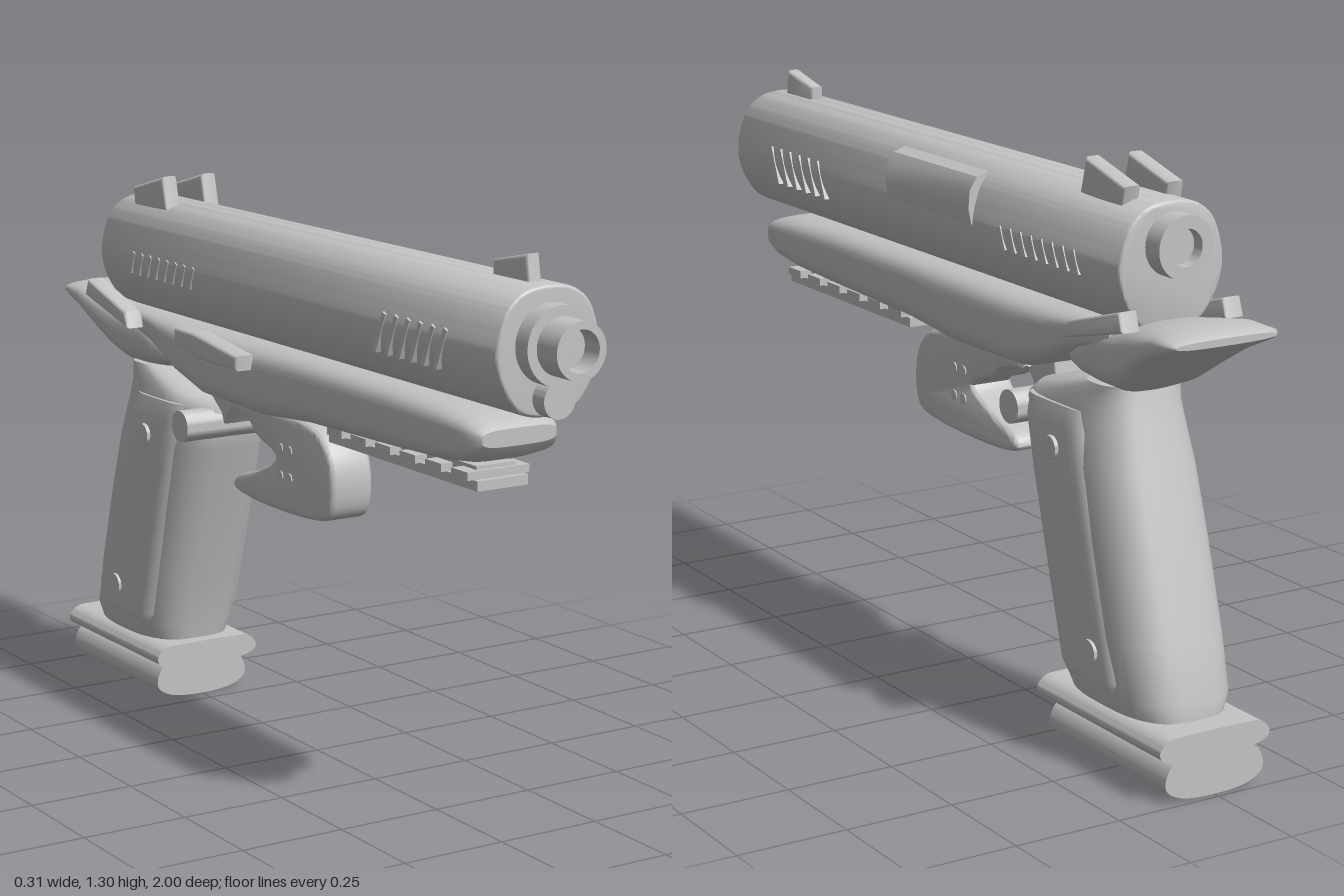
import * as THREE from 'three';
import { toCreasedNormals } from 'three/addons/utils/BufferGeometryUtils.js';

const grey = new THREE.MeshStandardMaterial({ color: 0xc4c4c4 });
grey.name = 'plain grey';

// Superellipse loft: each ring is [axis position, min, max, half width].
// along 'z': min/max are heights; along 'y': min/max are depths.
function loft(rings, axis, power, n = 40) {
  const pos = [], idx = [];
  const bend = (v) => Math.sign(v) * Math.abs(v) ** (2 / power);
  const addRing = ([t, lo, hi, w]) => {
    const start = pos.length / 3, mid = (lo + hi) / 2, half = (hi - lo) / 2;
    for (let i = 0; i < n; i++) {
      const a = (i / n) * Math.PI * 2, c = bend(Math.cos(a)), s = bend(Math.sin(a));
      if (axis === 'z') pos.push(w * c, mid + half * s, t);
      else pos.push(w * s, t, mid + half * c);
    }
    return start;
  };
  const starts = rings.map(addRing);
  for (let r = 0; r + 1 < rings.length; r++) {
    for (let i = 0; i < n; i++) {
      const j = (i + 1) % n, a = starts[r], b = starts[r + 1];
      idx.push(a + i, a + j, b + j, a + i, b + j, b + i);
    }
  }
  // end caps with their own vertices
  [rings[0], rings[rings.length - 1]].forEach((ring, end) => {
    const s = addRing(ring), mid = (ring[1] + ring[2]) / 2, c = pos.length / 3;
    pos.push(...(axis === 'z' ? [0, mid, ring[0]] : [0, ring[0], mid]));
    for (let i = 0; i < n; i++) {
      const j = (i + 1) % n;
      if (end) idx.push(c, s + i, s + j);
      else idx.push(c, s + j, s + i);
    }
  });
  const g = new THREE.BufferGeometry();
  g.setAttribute('position', new THREE.Float32BufferAttribute(pos, 3));
  g.setIndex(idx);
  g.computeVertexNormals();
  return g;
}

function extrude(shape, depth, bevel) {
  return toCreasedNormals(new THREE.ExtrudeGeometry(shape, {
    depth: depth - 2 * bevel, bevelEnabled: bevel > 0, bevelSize: bevel, bevelThickness: bevel,
    bevelOffset: -bevel, bevelSegments: 4, curveSegments: 10,
  }).translate(0, 0, bevel), 0.6);
}

const poly = (pts) => new THREE.Shape(pts.map(([a, b]) => new THREE.Vector2(a, b)));
const smooth = (pts, n = 48) => new THREE.Shape(
  new THREE.CatmullRomCurve3(pts.map(([a, b]) => new THREE.Vector3(a, b, 0)), true, 'centripetal')
    .getPoints(n).slice(0, -1).map((p) => new THREE.Vector2(p.x, p.y)));

// Side outline in (z, y), given thickness centred on x
const sidePart = (shape, x, width, bevel) =>
  extrude(shape, width, bevel).translate(0, 0, -width / 2).rotateY(-Math.PI / 2).translate(x, 0, 0);

// Front outline in (x, y), running from z0 to z1
const runPart = (shape, z0, z1, bevel = 0) => extrude(shape, z1 - z0, bevel).translate(0, 0, z0);

const turned = (pts, dir) => toCreasedNormals(
  new THREE.LatheGeometry(pts.map(([r, t]) => new THREE.Vector2(r, t)), 40).rotateX(dir * Math.PI / 2), 0.6);

const crossPin = (r, len) => toCreasedNormals(new THREE.CylinderGeometry(r, r, len, 28).rotateZ(Math.PI / 2), 0.6);

export function createModel() {
  const model = new THREE.Group();
  const add = (name, geometry, x = 0, y = 0, z = 0) => {
    const m = new THREE.Mesh(geometry, grey);
    m.name = name;
    m.position.set(x, y, z);
    model.add(m);
    return m;
  };

  // Slide and its raised side cover
  add('slide', runPart(smooth([
    [0.06, 0.965], [0.108, 1.015], [0.13, 1.08], [0.122, 1.145], [0.098, 1.195], [0.05, 1.225],
    [-0.05, 1.225], [-0.098, 1.195], [-0.122, 1.145], [-0.13, 1.08], [-0.108, 1.015], [-0.06, 0.965],
  ], 72), -0.8, 0.89, 0.008));
  add('portCover', runPart(poly([
    [0.07, 1.18], [0.11, 1.09], [0.134, 1.095], [0.141, 1.13], [0.138, 1.17], [0.12, 1.2], [0.09, 1.21],
  ]), -0.23, 0.13));

  // Barrel, guide rod and rear boss
  add('muzzle', turned([[0.085, 0.86], [0.085, 0.932], [0.062, 0.932], [0.062, 1], [0.045, 1],
    [0.045, 0.95], [0, 0.95]], 1), 0, 1.11, 0);
  add('guideRod', turned([[0.04, 0.8], [0.04, 0.93], [0, 0.93]], 1), 0, 0.998, 0);
  add('rearBoss', turned([[0.068, 0.75], [0.068, 0.85], [0.04, 0.85], [0.04, 0.82], [0, 0.82]], -1), 0, 1.14, 0);

  // Sights
  add('frontSight', sidePart(poly([[0.845, 1.2], [0.83, 1.287], [0.71, 1.26], [0.71, 1.2]]), 0, 0.034, 0.008));
  for (const s of [-1, 1]) {
    add('rearSight', sidePart(poly([[-0.565, 1.215], [-0.585, 1.295], [-0.735, 1.255], [-0.725, 1.2]]),
      s * 0.054, 0.042, 0.01));
  }

  // Slanted grooves on both sides of the slide
  for (const s of [-1, 1]) {
    for (let i = 0; i < 6; i++) {
      const rib = add('frontRib', new THREE.BoxGeometry(0.014, 0.095, 0.013), s * 0.126, 1.08, 0.69 - i * 0.046);
      rib.rotation.x = 0.4;
    }
    for (let i = 0; i < 8; i++) {
      const rib = add('rearRib', new THREE.BoxGeometry(0.012, 0.055, 0.012), s * 0.127, 1.085, -0.35 - i * 0.041);
      rib.rotation.x = 0.4;
    }
  }

  // Frame under the slide, and the flared tang behind
  add('frame', loft([
    [-0.72, 0.91, 0.965, 0.1], [-0.6, 0.885, 0.965, 0.112], [-0.48, 0.83, 0.96, 0.117],
    [-0.36, 0.795, 0.958, 0.118], [-0.1, 0.79, 0.96, 0.118], [0.1, 0.808, 0.962, 0.118],
    [0.45, 0.818, 0.96, 0.118], [0.64, 0.826, 0.953, 0.117], [0.73, 0.838, 0.944, 0.114],
    [0.775, 0.855, 0.932, 0.108], [0.793, 0.88, 0.918, 0.095],
  ], 'z', 3.6));
  add('tang', loft([
    [-0.995, 0.966, 0.982, 0.125], [-0.98, 0.955, 0.992, 0.138], [-0.92, 0.925, 1, 0.14],
    [-0.85, 0.88, 0.99, 0.136], [-0.79, 0.838, 0.98, 0.125], [-0.74, 0.818, 0.968, 0.115],
    [-0.66, 0.816, 0.955, 0.105], [-0.6, 0.825, 0.92, 0.1], [-0.55, 0.84, 0.885, 0.085],
  ], 'z', 2.8));

  // Levers
  const lever = poly([[-0.625, 0.925], [-0.64, 0.965], [-0.83, 1.02], [-0.845, 0.978]]);
  for (const s of [-1, 1]) add('safetyLever', sidePart(lever, s * 0.13, 0.048, 0.008));
  add('slideStop', sidePart(poly([[-0.1, 0.905], [-0.1, 0.94], [-0.3, 0.965], [-0.39, 0.965], [-0.39, 0.925],
    [-0.28, 0.905]]), -0.132, 0.05, 0.008));

  // Accessory rail
  add('rail', new THREE.BoxGeometry(0.13, 0.022, 0.58), 0, 0.788, 0.445);
  add('railBase', new THREE.BoxGeometry(0.1, 0.03, 0.54), 0, 0.81, 0.44);
  for (let i = 0; i < 6; i++) {
    add('railTooth', new THREE.BoxGeometry(0.16, 0.018, 0.06), 0, 0.808, 0.69 - i * 0.098);
  }

  // Notched trigger block with small studs
  add('trigger', sidePart(smooth([
    [0.153, 0.66], [0.14, 0.73], [0.1, 0.775], [0.04, 0.795], [-0.15, 0.8], [-0.3, 0.8], [-0.33, 0.785],
    [-0.22, 0.755], [-0.19, 0.73], [-0.1, 0.692], [-0.18, 0.648], [-0.28, 0.612], [-0.293, 0.59],
    [-0.26, 0.575], [0.08, 0.576], [0.135, 0.595],
  ], 80), 0, 0.112, 0.014));
  for (const [z, y] of [[-0.03, 0.72], [-0.07, 0.72], [-0.03, 0.655], [-0.07, 0.655]]) {
    add('triggerStud', crossPin(0.012, 0.118), 0, y, z);
  }

  // Hinge pin and its link to the frame
  add('hingePin', crossPin(0.038, 0.28), 0, 0.722, -0.395);
  add('hingeLink', sidePart(poly([[-0.36, 0.72], [-0.3, 0.8], [-0.42, 0.83], [-0.44, 0.72]]), 0, 0.08, 0.005));

  // Grip and the raised panels around it
  add('grip', loft([
    [0.13, -0.925, -0.55, 0.112], [0.18, -0.925, -0.54, 0.132], [0.3, -0.893, -0.508, 0.136],
    [0.5, -0.835, -0.445, 0.136], [0.65, -0.787, -0.395, 0.134], [0.75, -0.757, -0.362, 0.122],
    [0.785, -0.747, -0.41, 0.115], [0.83, -0.735, -0.6, 0.1],
  ], 'y', 3));
  add('gripPanels', loft([
    [0.185, -0.835, -0.585, 0.134], [0.21, -0.828, -0.575, 0.142], [0.4, -0.77, -0.52, 0.143],
    [0.6, -0.712, -0.462, 0.143], [0.72, -0.68, -0.427, 0.139], [0.765, -0.665, -0.42, 0.126],
  ], 'y', 5));
  for (const [z, y] of [[-0.567, 0.672], [-0.724, 0.26]]) add('gripScrew', crossPin(0.027, 0.298), 0, y, z);

  // Stacked base plates with rounded outlines
  const plate = (w, y0, y1) => {
    const h = y1 - y0;
    return smooth([[w * 0.75, y0 + h * 0.1], [w * 0.97, y0 + h * 0.3], [w, y0 + h * 0.55], [w * 0.85, y0 + h * 0.93],
      [w * 0.5, y1], [-w * 0.5, y1], [-w * 0.85, y0 + h * 0.93], [-w, y0 + h * 0.55], [-w * 0.97, y0 + h * 0.3],
      [-w * 0.75, y0 + h * 0.1], [-w * 0.4, y0], [w * 0.4, y0]]);
  };
  add('upperBasePlate', runPart(plate(0.14, 0.082, 0.142), -0.985, -0.515));
  add('lowerBasePlate', runPart(plate(0.125, 0, 0.09), -0.985, -0.545));

  return model;
}
